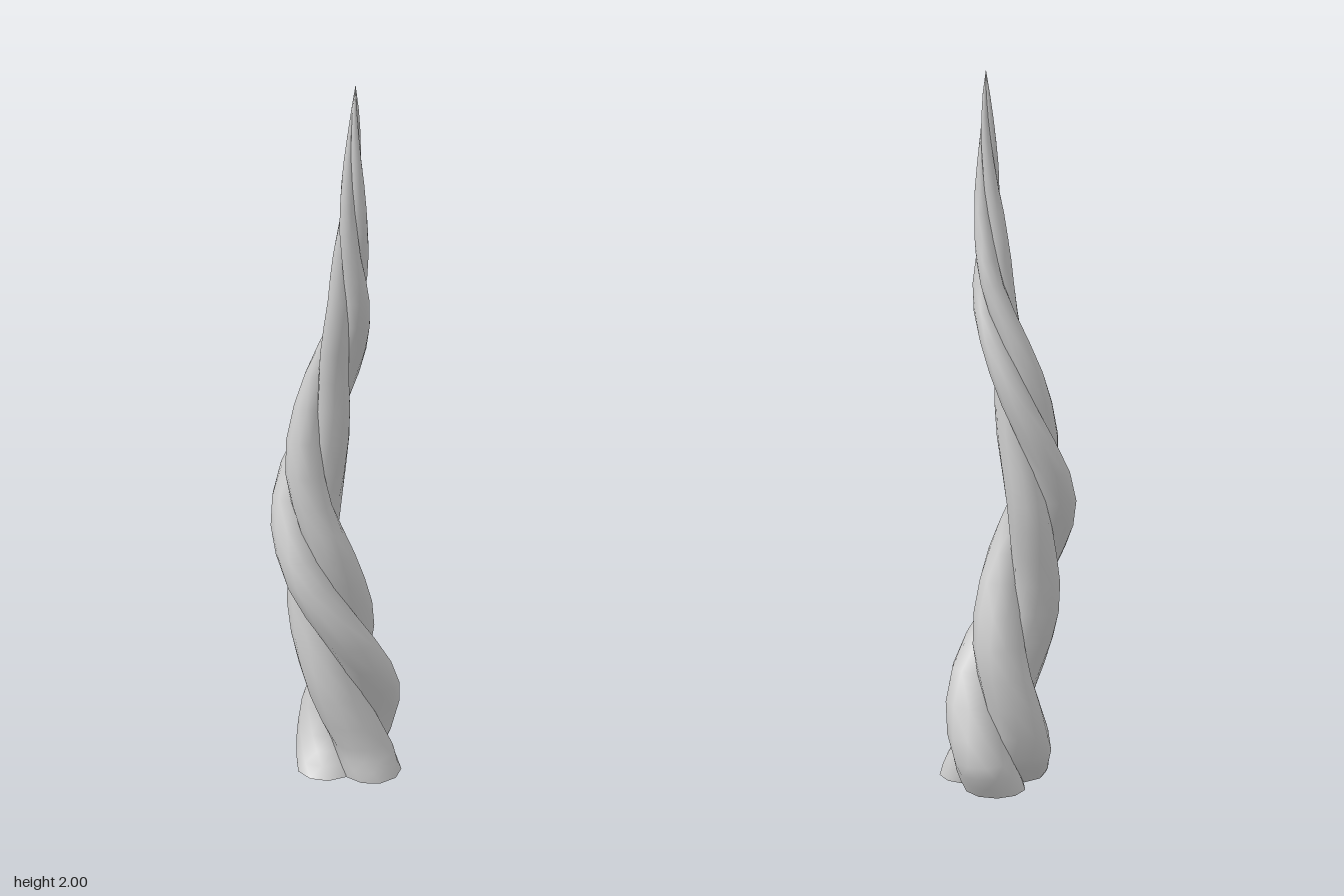
import * as THREE from 'three';

// Centre line of the whole horn: a gentle spiral that settles towards the tip
const axis = new THREE.CatmullRomCurve3([
  [-0.01, 0, 0.033], [0.022, 0.1, 0.007], [-0.01, 0.35, 0.008], [-0.064, 0.62, -0.04],
  [-0.05, 0.86, -0.088], [-0.012, 1.15, -0.043], [-0.022, 1.4, 0.037],
  [-0.042, 1.6, 0.062], [-0.042, 1.8, 0.07], [-0.035, 2, 0.07],
].map((p) => new THREE.Vector3(...p)));

const SIDES = 10;
const ROWS = 28;
const TURN_HEIGHT = 1.05; // height of one full twist

// One tapering strand, lofted from level rings that circle the axis
function strandGeometry(phase) {
  const positions = [];
  const indices = [];
  for (let i = 0; i <= ROWS; i++) {
    const c = axis.getPoint(i / ROWS);
    const spread = 0.165 * Math.pow(Math.max(0, 1 - c.y / 2), 0.8);
    const offset = spread * 0.47;
    const radius = spread * 0.53;
    const twist = phase + ((c.y - 0.1) / TURN_HEIGHT) * Math.PI * 2;
    for (let j = 0; j < SIDES; j++) {
      const a = twist + (j / SIDES) * Math.PI * 2;
      positions.push(
        c.x + offset * Math.cos(twist) + radius * Math.cos(a),
        c.y,
        c.z + offset * Math.sin(twist) + radius * Math.sin(a),
      );
      if (i < ROWS) {
        const k = (j + 1) % SIDES;
        const p = i * SIDES + j, q = i * SIDES + k;
        indices.push(p, p + SIDES, q, q, p + SIDES, q + SIDES);
      }
    }
  }
  const geometry = new THREE.BufferGeometry();
  geometry.setAttribute('position', new THREE.Float32BufferAttribute(positions, 3));
  geometry.setIndex(indices);
  geometry.computeVertexNormals();
  return geometry;
}

export function createModel() {
  const horn = new THREE.Group();
  horn.name = 'twistedHorn';
  // Strands are open at the foot
  const material = new THREE.MeshStandardMaterial({ color: 0xcccccc, side: THREE.DoubleSide });
  for (let s = 0; s < 3; s++) {
    const strand = new THREE.Mesh(strandGeometry((s * Math.PI * 2) / 3), material);
    strand.name = `strand${s + 1}`;
    horn.add(strand);
  }
  return horn;
}
